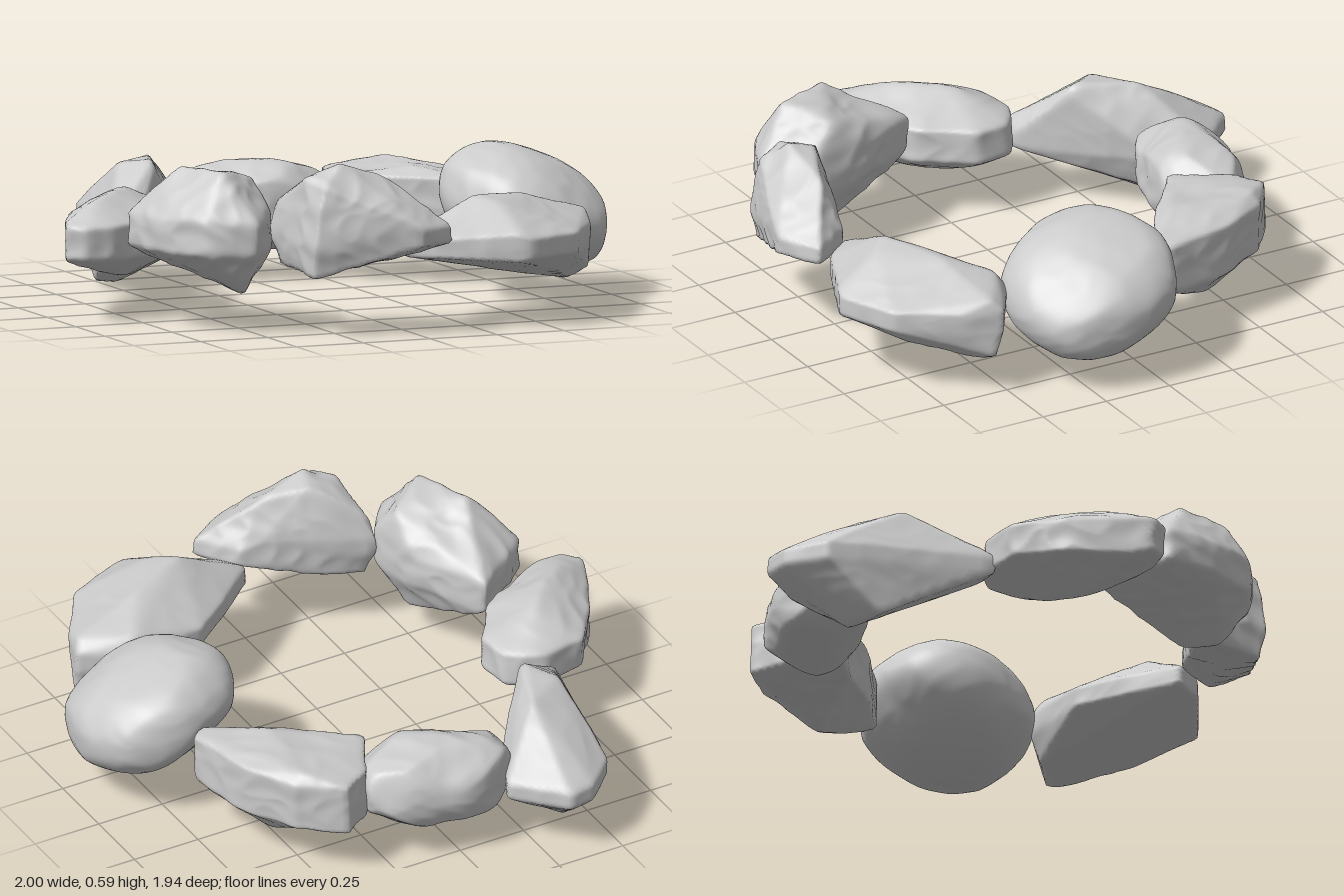
import * as THREE from 'three';
import { ConvexGeometry } from 'three/addons/geometries/ConvexGeometry.js';
import { mergeVertices } from 'three/addons/utils/BufferGeometryUtils.js';

const material = new THREE.MeshStandardMaterial({ color: 0xcccccc });
const vec = (p) => new THREE.Vector3(...p);

// Lumps and shallow chips at two sizes
function lumps(p, seed) {
  const wave = (f, s) => Math.sin(p.x * f + s + 1.6 * Math.sin(p.y * f * 0.8 + s))
    * Math.sin(p.y * f * 0.9 + 2 * s + 1.4 * Math.sin(p.z * f * 0.7))
    + 0.6 * Math.sin(p.z * f + 3 * s + 1.5 * Math.sin(p.x * f * 0.9));
  return wave(13, seed) + 0.35 * (1 - 2 * Math.abs(wave(28, seed + 4)));
}

// A fine ball whose vertices are moved by reach(direction), then roughened
function stoneMesh(name, spread, reach, rough, seed) {
  let geo = new THREE.IcosahedronGeometry(1, 20);
  geo.deleteAttribute('uv');
  geo.deleteAttribute('normal');
  geo = mergeVertices(geo, 1e-4);
  const pos = geo.attributes.position;
  const v = new THREE.Vector3();
  for (let i = 0; i < pos.count; i++) {
    v.fromBufferAttribute(pos, i).multiply(spread).normalize();
    v.multiplyScalar(reach(v));
    const len = v.length();
    v.multiplyScalar(1 + rough * lumps(v, seed) * Math.min(1 / len, 6));
    pos.setXYZ(i, v.x, v.y, v.z);
  }
  geo.computeVertexNormals();
  const mesh = new THREE.Mesh(geo, material);
  mesh.name = name;
  return mesh;
}

// Distinct face planes of the hull round the points
function hullPlanes(points) {
  const pos = new ConvexGeometry(points).attributes.position;
  const planes = [];
  const tri = new THREE.Triangle();
  for (let i = 0; i < pos.count; i += 3) {
    tri.setFromAttributeAndIndices(pos, i, i + 1, i + 2);
    if (tri.getArea() < 1e-6) continue;
    const n = tri.getNormal(new THREE.Vector3());
    if (planes.some((q) => q.n.dot(n) > 0.995)) continue;
    planes.push({ n, d: n.dot(tri.a) });
  }
  return planes;
}

// Angular stone: a rim in plan [x, z] at height y and half thickness t,
// rising to crest points and falling to keel points; edge sets crispness
function boulder(name, { rim, y, t, crest, keel, rough, edge = 90 }, seed) {
  const points = [...crest, ...keel].map(vec);
  for (const [x, z] of rim) points.push(vec([x, y - t, z]), vec([x, y + t, z]));
  const box = new THREE.Box3().setFromPoints(points);
  const centre = new THREE.Vector3();
  points.forEach((p) => centre.addScaledVector(p, 1 / points.length));
  const planes = hullPlanes(points.map((p) => p.clone().sub(centre)));
  const reach = (dir) => {
    const ratios = planes.map(({ n, d }) => Math.max(0, n.dot(dir) / d));
    const top = Math.max(...ratios);
    return 1 / (top * ratios.reduce((s, r) => s + (r / top) ** edge, 0) ** (1 / edge));
  };
  const mesh = stoneMesh(name, box.getSize(new THREE.Vector3()), reach, rough, seed);
  mesh.position.copy(centre);
  return mesh;
}

// Worn stone: a rounded box-like ball with its shoulders chipped flat
function cobble(name, { at, half, turn, box, chip, rough }, seed) {
  const size = vec(half);
  const chips = Array.from({ length: 16 }, (_, i) => {
    const h = 1 - (2 * i + 1) / 16;
    const r = Math.sqrt(1 - h * h);
    const a = i * 2.4 + seed;
    return { n: vec([r * Math.cos(a), h, r * Math.sin(a)]), d: chip + 0.06 * Math.sin(i * 5.3 + seed) };
  });
  const reach = (dir) => {
    const u = dir.clone().divide(size);
    const round = (Math.abs(u.x) ** box + Math.abs(u.y) ** box + Math.abs(u.z) ** box) ** (1 / box);
    const flat = Math.max(...chips.map(({ n, d }) => n.dot(u) / d));
    return 1 / (round ** 16 + Math.max(0, flat) ** 16) ** (1 / 16);
  };
  const mesh = stoneMesh(name, size, reach, rough, seed);
  mesh.position.set(...at);
  mesh.rotation.set(...turn);
  return mesh;
}

export function createModel() {
  const group = new THREE.Group();
  group.name = 'stoneRing';

  // Angular stones
  group.add(
    boulder('backLeftStone', {
      rim: [[-0.31, -0.98], [-0.41, -0.96], [-0.51, -0.86], [-0.56, -0.66], [-0.6, -0.5],
        [-0.65, -0.26], [-0.54, -0.28], [-0.25, -0.6], [-0.15, -0.81]],
      y: 0.23, t: 0.03, rough: 0.003,
      crest: [[-0.34, 0.45, -0.65], [-0.5, 0.44, -0.55], [-0.42, 0.46, -0.44]],
      keel: [[-0.42, 0, -0.72], [-0.54, 0.02, -0.65], [-0.27, 0.08, -0.65]],
    }, 1),
    boulder('backRightStone', {
      rim: [[0.21, -0.45], [0.3, -0.63], [0.42, -0.71], [0.57, -0.61], [0.66, -0.43],
        [0.72, -0.16], [0.66, -0.13], [0.5, -0.23], [0.31, -0.37]],
      y: 0.28, t: 0.09, rough: 0.006,
      crest: [[0.53, 0.41, -0.6], [0.5, 0.4, -0.3]],
      keel: [[0.55, 0.08, -0.4]],
    }, 2),
    boulder('frontRightStone', {
      rim: [[0.01, 0.72], [0.33, 0.46], [0.6, 0.42], [0.79, 0.53], [0.74, 0.67], [0.61, 0.87],
        [0.4, 0.96], [0.24, 0.89], [0.08, 0.81]],
      y: 0.285, t: 0.035, rough: 0.003,
      crest: [[0.28, 0.45, 0.72], [0.5, 0.43, 0.62], [0.76, 0.36, 0.57], [0.6, 0.38, 0.46], [0.35, 0.43, 0.79]],
      keel: [[0.48, 0.16, 0.65], [0.68, 0.12, 0.6], [0.78, 0.15, 0.56], [0.6, 0.15, 0.46], [0.55, 0.18, 0.8]],
    }, 3),
    boulder('frontStone', {
      rim: [[-0.42, 0.57], [-0.37, 0.87], [-0.1, 0.92], [-0.01, 0.97], [0.13, 0.88], [0.03, 0.73]],
      y: 0.345, t: 0.03, rough: 0.007,
      crest: [[-0.37, 0.55, 0.76], [-0.25, 0.6, 0.79], [-0.22, 0.58, 0.7], [-0.06, 0.53, 0.77],
        [-0.34, 0.53, 0.86], [-0.4, 0.45, 0.6]],
      keel: [[-0.37, 0.2, 0.85], [-0.39, 0.23, 0.6], [-0.15, 0.24, 0.8]],
    }, 4),
    boulder('frontLeftStone', {
      rim: [[-0.59, 0.12], [-0.7, 0.22], [-0.83, 0.31], [-0.81, 0.5], [-0.7, 0.67],
        [-0.53, 0.74], [-0.42, 0.59], [-0.44, 0.36], [-0.52, 0.23]],
      y: 0.34, t: 0.06, rough: 0.008, edge: 50,
      crest: [[-0.61, 0.56, 0.6], [-0.45, 0.52, 0.5], [-0.68, 0.57, 0.42], [-0.62, 0.47, 0.25]],
      keel: [[-0.5, 0.13, 0.5], [-0.53, 0.14, 0.62], [-0.76, 0.26, 0.4], [-0.55, 0.2, 0.26]],
    }, 8),
    boulder('leftStone', {
      rim: [[-0.58, -0.29], [-0.76, -0.26], [-0.88, -0.1], [-1.01, 0.17], [-0.96, 0.24],
        [-0.85, 0.24], [-0.58, 0.1], [-0.46, -0.08], [-0.47, -0.22]],
      y: 0.28, t: 0.06, rough: 0.007, edge: 40,
      crest: [[-0.65, 0.42, -0.12], [-0.82, 0.42, 0.05]],
      keel: [[-0.62, 0.13, -0.08], [-0.78, 0.14, 0.1]],
    }, 7),
  );

  // Worn stones
  group.add(
    cobble('rightStone', {
      at: [0.715, 0.315, 0.155], half: [0.295, 0.185, 0.3], turn: [0.36, 0.25, -0.32],
      box: 2.25, chip: 1.06, rough: 0.003,
    }, 5),
    cobble('backStone', {
      at: [0.04, 0.255, -0.635], half: [0.285, 0.155, 0.165], turn: [0, -0.15, 0],
      box: 2.8, chip: 1.02, rough: 0.006,
    }, 6),
  );
  return group;
}
